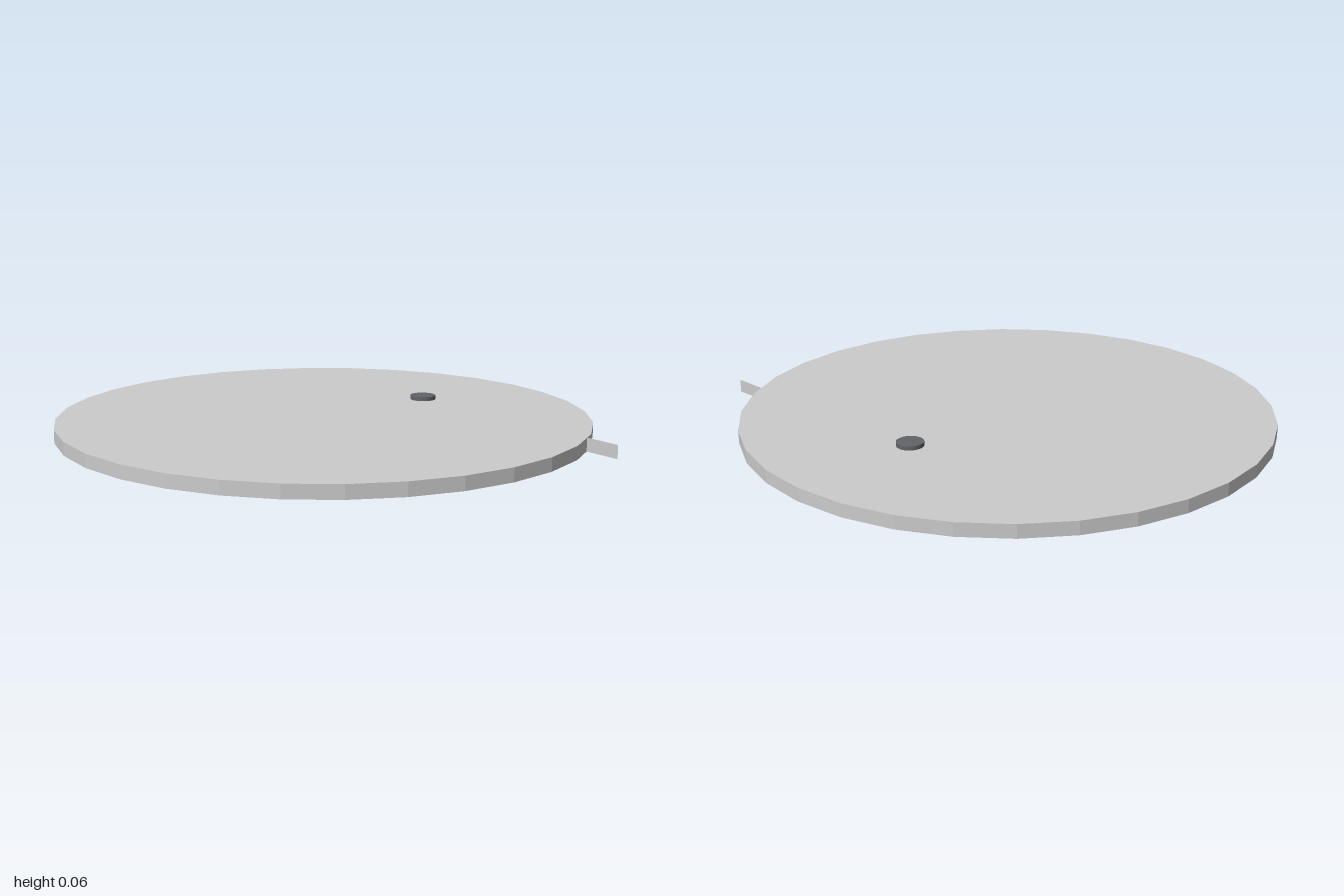
import * as THREE from 'three';

export function createModel() {
  const group = new THREE.Group();
  const grey = new THREE.MeshStandardMaterial({ color: 0xcccccc, flatShading: true });
  const dark = new THREE.MeshStandardMaterial({ color: 0x636468, flatShading: true });
  const sheet = new THREE.MeshStandardMaterial({ color: 0xcccccc, side: THREE.DoubleSide });

  const add = (name, geometry, material, x, y, z) => {
    const mesh = new THREE.Mesh(geometry, material);
    mesh.name = name;
    mesh.position.set(x, y, z);
    group.add(mesh);
  };

  const thickness = 0.05;
  const offset = -0.5; // z of the button and the strip

  // Flat round plate
  add('disc', new THREE.CylinderGeometry(1, 1, thickness, 32), grey, 0, thickness / 2, 0);

  // Small dark button standing on the plate
  add('button', new THREE.CylinderGeometry(0.05, 0.05, 0.015, 32), dark, 0, thickness + 0.0075, offset);

  // Paper-thin upright strip that sticks out of the rim on the left
  add('sideStrip', new THREE.PlaneGeometry(1, thickness), sheet, 0.5, thickness / 2, offset);

  return group;
}
